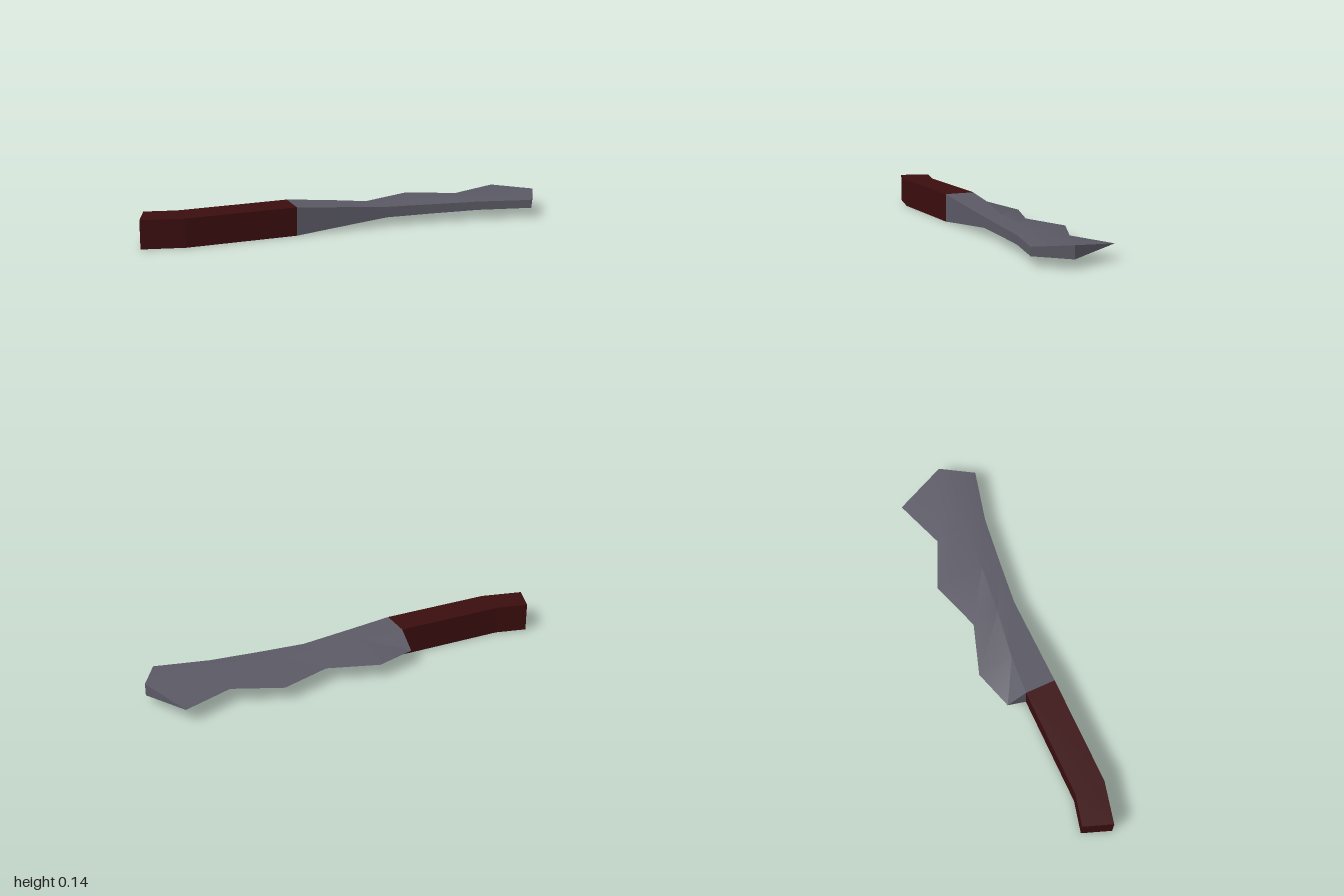
import * as THREE from 'three';
import { toCreasedNormals } from 'three/addons/utils/BufferGeometryUtils.js';

const MID = 0.069; // height of the blade's centre plane

// Loft five-sided wedge sections: thick spine, ridge, sharp cutting edge
function bladeGeometry(stations) {
  const pos = [], index = [];
  for (const { spine: s, ridge: r, edge: e } of stations) {
    pos.push(
      s[0], MID + s[2], s[1], s[0], MID - s[2], s[1],
      r[0], MID - r[2], r[1], e[0], MID, e[1], r[0], MID + r[2], r[1]);
  }
  for (let i = 0; i < stations.length - 1; i++) {
    for (let j = 0; j < 5; j++) {
      const k = (j + 1) % 5, a = i * 5, b = a + 5;
      index.push(a + j, a + k, b + k, a + j, b + k, b + j);
    }
  }
  // End faces
  const n = (stations.length - 1) * 5;
  for (const [a, b, c] of [[0, 1, 2], [0, 2, 4], [2, 3, 4]]) {
    index.push(n + a, n + b, n + c, a, c, b);
  }
  const g = new THREE.BufferGeometry();
  g.setAttribute('position', new THREE.Float32BufferAttribute(pos, 3));
  g.setIndex(index);
  return toCreasedNormals(g, 0.3);
}

export function createModel() {
  const group = new THREE.Group();
  const steel = new THREE.MeshStandardMaterial({ name: 'dark steel', color: 0x5a5964 });
  const grip = new THREE.MeshStandardMaterial({ name: 'dark red grip', color: 0x3a0d0e });

  // Handle: plan outline [x, z] extruded upward, with an angled pommel
  const outline = [[-0.265, 0.093], [-0.8, 0.093], [-1, 0.045], [-0.95, -0.092], [-0.8, -0.055], [-0.265, -0.055]];
  const shape = new THREE.Shape(outline.map(([x, z]) => new THREE.Vector2(x, -z)));
  const handleGeo = new THREE.ExtrudeGeometry(shape, { depth: 2 * MID, bevelEnabled: false });
  handleGeo.rotateX(-Math.PI / 2);
  const handle = new THREE.Mesh(handleGeo, grip);
  handle.name = 'handle';

  // Blade: each point is [x, z, half thickness]; the edge swings in and out
  const blade = new THREE.Mesh(bladeGeometry([
    { spine: [-0.265, 0.093, 0.069], ridge: [-0.265, -0.055, 0.069], edge: [-0.265, -0.15] },
    { spine: [-0.07, 0.093, 0.05], ridge: [-0.07, -0.04, 0.052], edge: [-0.07, -0.21] },
    { spine: [0.19, 0.093, 0.026], ridge: [0.18, 0.0, 0.03], edge: [0.175, -0.13] },
    { spine: [0.42, 0.118, 0.023], ridge: [0.42, 0.025, 0.03], edge: [0.42, -0.212] },
    { spine: [0.65, 0.146, 0.021], ridge: [0.65, 0.04, 0.03], edge: [0.65, -0.112] },
    { spine: [0.908, 0.208, 0.02], ridge: [1, 0.05, 0.03], edge: [0.895, -0.2] },
  ]), steel);
  blade.name = 'blade';

  group.add(handle, blade);
  return group;
}
